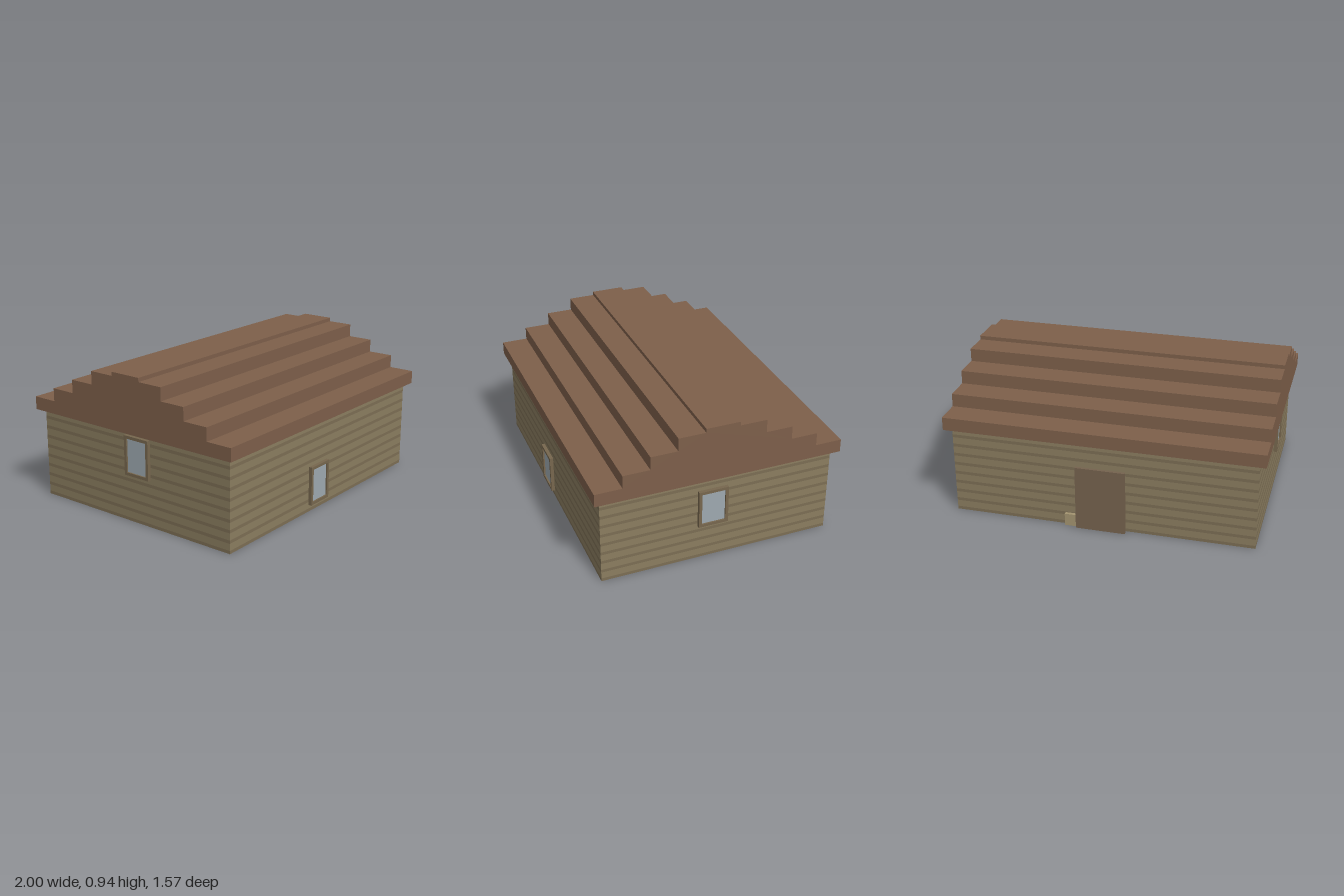
import * as THREE from 'three';

const mat = (color) => new THREE.MeshStandardMaterial({ color });
const WALL = mat(0x8b7d60), JOINT = mat(0x7c6e54), ROOF = mat(0x7d5f4a);
const FRAME = mat(0x77674e), GLASS = mat(0x9ea9b0), DOOR = mat(0x75624e), STEP = mat(0xa39470);

// Box given by its minimum and maximum corners
function box(name, material, [x0, y0, z0], [x1, y1, z1]) {
  const mesh = new THREE.Mesh(new THREE.BoxGeometry(x1 - x0, y1 - y0, z1 - z0), material);
  mesh.position.set((x0 + x1) / 2, (y0 + y1) / 2, (z0 + z1) / 2);
  mesh.name = name;
  return mesh;
}

// Framed window facing +z, its back at z = 0 and its bottom centre at the origin
function makeWindow(name) {
  const w = 0.095, h = 0.252, t = 0.019, d = 0.022;
  const g = new THREE.Group();
  g.name = name;
  for (const s of [-1, 1]) {
    const a = s * w, b = s * (w - t);
    g.add(box('windowJamb', FRAME, [Math.min(a, b), 0, 0], [Math.max(a, b), h, d]));
  }
  g.add(box('windowSill', FRAME, [t - w, 0, 0], [w - t, t, d]));
  g.add(box('windowHead', FRAME, [t - w, h - t, 0], [w - t, h, d]));
  g.add(box('windowGlass', GLASS, [t - w, t, 0], [w - t, h - t, 0.012]));
  return g;
}

export function createModel() {
  const model = new THREE.Group();
  model.name = 'cabin';
  const W = 0.957, D = 0.744, EAVES = 0.577;

  // Walls: nine plank courses, each with a darker joint below it
  const walls = new THREE.Group();
  walls.name = 'walls';
  const courses = 9, ch = EAVES / courses;
  for (let i = 0; i < courses; i++) {
    const y = i * ch;
    walls.add(box('plankJoint', JOINT, [-W, y, -D], [W, y + 0.02, D]));
    walls.add(box('plank', WALL, [-W, y + 0.02, -D], [W, y + ch, D]));
  }
  model.add(walls);

  // Stepped roof: half depth and top height of each tier, mirrored and extruded along x
  const tiers = [[0.785, 0.661], [0.615, 0.745], [0.446, 0.83], [0.277, 0.914], [0.107, 0.939]];
  const right = [];
  let y = EAVES;
  for (const [z, top] of tiers) {
    right.push([z, y], [z, top]);
    y = top;
  }
  const left = right.map(([z, h]) => [-z, h]).reverse();
  const profile = new THREE.Shape([...right, ...left].map(([z, h]) => new THREE.Vector2(z, h)));
  const roofGeo = new THREE.ExtrudeGeometry(profile, { depth: 2, bevelEnabled: false });
  roofGeo.translate(0, 0, -1).rotateY(Math.PI / 2);
  const roof = new THREE.Mesh(roofGeo, ROOF);
  roof.name = 'steppedRoof';
  model.add(roof);

  // Windows on the front and both ends
  const places = [
    ['frontWindow', -0.076, 0.045, D, 0],
    ['leftWindow', W, 0.237, 0.035, Math.PI / 2],
    ['rightWindow', -W, 0.303, 0.05, -Math.PI / 2],
  ];
  for (const [name, px, py, pz, turn] of places) {
    const win = makeWindow(name);
    win.position.set(px, py, pz);
    win.rotation.y = turn;
    model.add(win);
  }

  // Back door: a slab over a narrower frame, with a small block beside it
  model.add(box('doorFrame', FRAME, [-0.135, 0, -0.767], [0.135, 0.405, -D]));
  model.add(box('doorSlab', DOOR, [-0.155, 0.003, -0.785], [0.158, 0.425, -0.767]));
  model.add(box('doorBlock', STEP, [0.14, 0, -0.765], [0.235, 0.08, -D]));
  return model;
}
